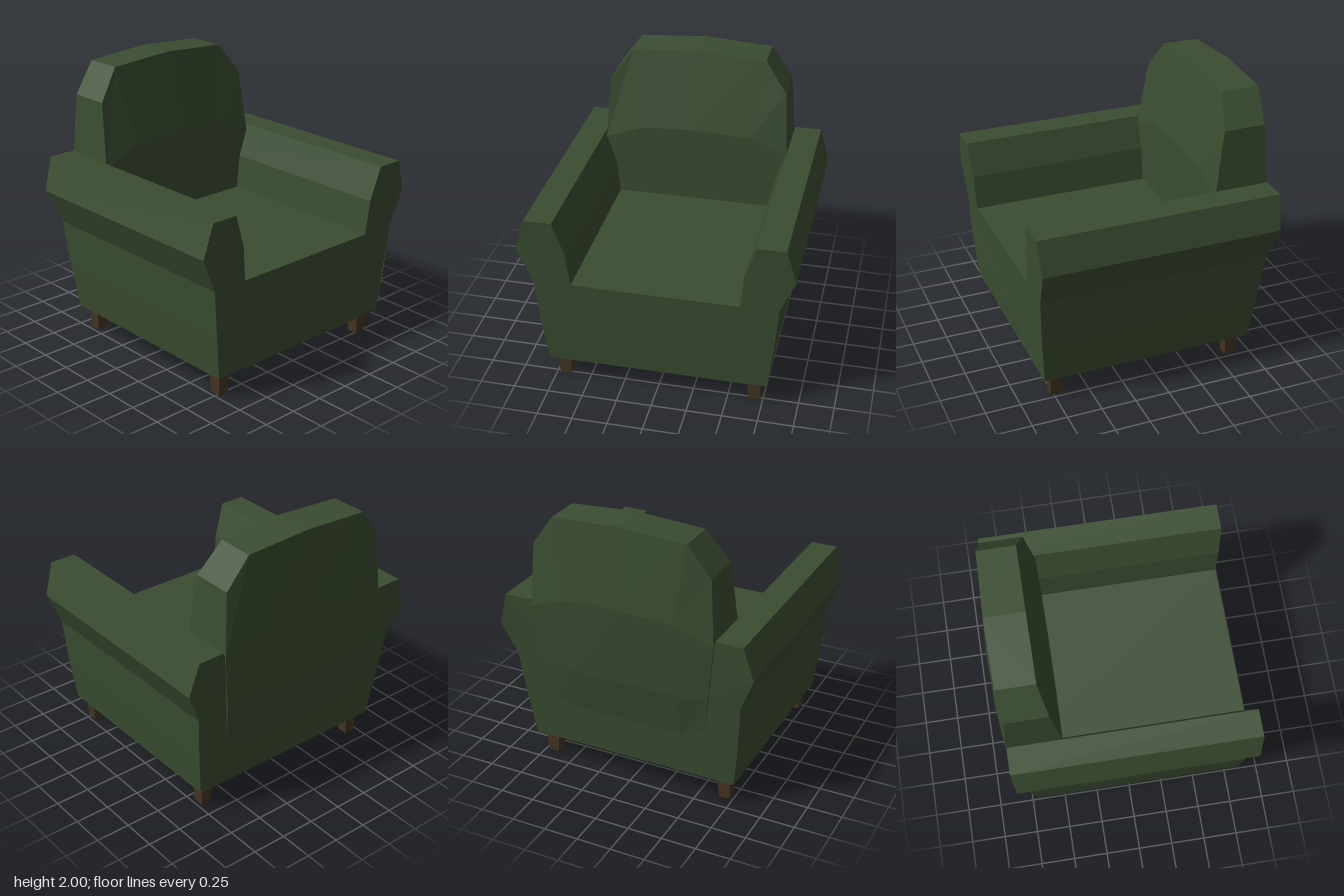
import * as THREE from 'three';

const fabric = new THREE.MeshStandardMaterial({ color: 0x3b4d31 });
fabric.name = 'green fabric';
const wood = new THREE.MeshStandardMaterial({ color: 0x463523 });
wood.name = 'dark wood';

// Faceted mesh: every face gets its own normal
function facetedMesh(name, geometry, material) {
  const flat = geometry.index ? geometry.toNonIndexed() : geometry;
  flat.computeVertexNormals();
  const mesh = new THREE.Mesh(flat, material);
  mesh.name = name;
  return mesh;
}

// Half profile of base and arm: x, y, front z, back z
const BODY = [
  [0.78, 0.17, 0.83, -0.705],
  [0.82, 0.5, 0.855, -0.745],
  [0.85, 0.84, 0.868, -0.785],
  [0.955, 1.09, 0.88, -0.825],
  [0.885, 1.33, 0.895, -0.845],
  [0.69, 1.33, 0.895, -0.845],
  [0.61, 1.09, 0.88, -0.825],
  [0.585, 0.84, 0.868, -0.785],
];

// Base and arms: one front profile, extruded, with front and back leaning by height
function createBody() {
  const right = BODY.map(([x, y]) => new THREE.Vector2(x, y));
  const left = BODY.map(([x, y]) => new THREE.Vector2(-x, y)).reverse();
  const geometry = new THREE.ExtrudeGeometry(new THREE.Shape([...right, ...left]), {
    depth: 1, steps: 1, bevelEnabled: false,
  });
  const pos = geometry.attributes.position;
  for (let i = 0; i < pos.count; i++) {
    const row = BODY.find((p) => Math.abs(p[1] - pos.getY(i)) < 0.001);
    pos.setZ(i, pos.getZ(i) > 0.5 ? row[2] : row[3]);
  }
  return facetedMesh('baseAndArms', geometry, fabric);
}

// Backrest rows from bottom to top; each column from centre to side: x, y, front z, back z
const BACK = [
  [[0, 0.5, -0.47, -0.745], [0.4, 0.5, -0.47, -0.745], [0.58, 0.5, -0.47, -0.74]],
  [[0, 0.84, -0.465, -0.825], [0.4, 0.84, -0.465, -0.82], [0.62, 0.84, -0.465, -0.8]],
  [[0, 1.42, -0.452, -0.89], [0.4, 1.4, -0.455, -0.88], [0.68, 1.29, -0.46, -0.852]],
  [[0, 2, -0.575, -0.855], [0.49, 1.97, -0.575, -0.845], [0.65, 1.75, -0.525, -0.825]],
];

function createBackrest() {
  const vertices = [];
  const index = [];
  const quad = (a, b, c, d) => index.push(a, b, c, a, c, d);
  // Each ring runs along the front, then returns along the back
  for (const [mid, inner, side] of BACK) {
    const mirror = ([x, y, f, b]) => [-x, y, f, b];
    const columns = [mirror(side), mirror(inner), mid, inner, side];
    for (const [x, y, f] of columns) vertices.push(x, y, f);
    for (const [x, y, , b] of columns.reverse()) vertices.push(x, y, b);
  }
  for (let r = 0; r < BACK.length - 1; r++) {
    for (let i = 0; i < 10; i++) {
      const a = r * 10 + i;
      const b = r * 10 + ((i + 1) % 10);
      quad(a, b, b + 10, a + 10);
    }
  }
  // Top and bottom
  const top = (BACK.length - 1) * 10;
  for (let j = 0; j < 4; j++) {
    quad(top + j, top + j + 1, top + 8 - j, top + 9 - j);
    quad(9 - j, 8 - j, j + 1, j);
  }
  const geometry = new THREE.BufferGeometry();
  geometry.setAttribute('position', new THREE.Float32BufferAttribute(vertices, 3));
  geometry.setIndex(index);
  return facetedMesh('backrest', geometry, fabric);
}

// Square tapered leg
function createLeg(name, x, z) {
  const geometry = new THREE.CylinderGeometry(0.05 * Math.SQRT2, 0.039 * Math.SQRT2, 0.175, 4);
  geometry.rotateY(Math.PI / 4);
  const leg = facetedMesh(name, geometry, wood);
  leg.position.set(x, 0.0875, z);
  return leg;
}

export function createModel() {
  const chair = new THREE.Group();
  chair.name = 'armchair';
  chair.add(createBody(), createBackrest());
  for (const [side, x] of [['Left', 0.685], ['Right', -0.685]]) {
    chair.add(createLeg('front' + side + 'Leg', x, 0.73));
    chair.add(createLeg('back' + side + 'Leg', x, -0.605));
  }
  return chair;
}
